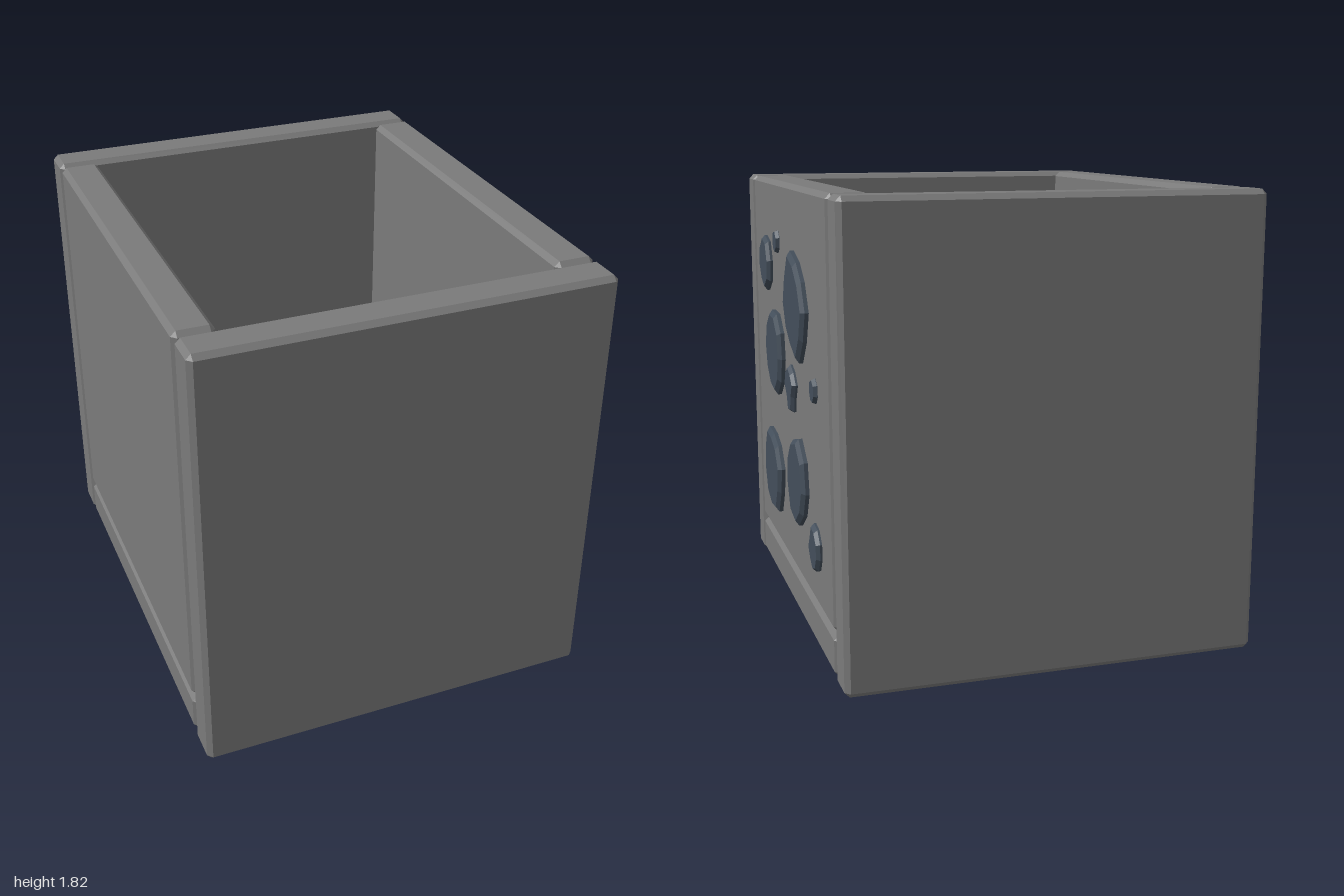
import * as THREE from 'three';
import { ConvexGeometry } from 'three/addons/geometries/ConvexGeometry.js';

// Box with chamfered edges, given by its min and max corners
function chamferBox(min, max, c = 0.02) {
  const centre = min.map((v, i) => (v + max[i]) / 2);
  const half = min.map((v, i) => (max[i] - v) / 2);
  const points = [];
  for (const sx of [-1, 1]) for (const sy of [-1, 1]) for (const sz of [-1, 1]) {
    const s = [sx, sy, sz];
    for (let axis = 0; axis < 3; axis++) {
      const p = s.map((sign, i) => centre[i] + sign * (half[i] - (i === axis ? 0 : c)));
      points.push(new THREE.Vector3(...p));
    }
  }
  return new ConvexGeometry(points);
}

// Faceted stone on the +x wall: corners at equal angles with the given radii;
// bigger stones stand out further and have a wider bevel
function stoneGeometry(z, y, turn, radii) {
  const corners = radii.map((r, i) => {
    const a = THREE.MathUtils.degToRad(turn) + (i / radii.length) * Math.PI * 2;
    return new THREE.Vector2(r * Math.cos(a), r * Math.sin(a));
  });
  const size = Math.max(...radii);
  const bevel = Math.min(0.02, size * 0.12);
  const base = 0.79, chamfer = 0.015;
  const top = Math.min(0.836, 0.815 + size * 0.13);
  const geometry = new THREE.ExtrudeGeometry(new THREE.Shape(corners), {
    depth: top - base - chamfer, bevelEnabled: true, bevelSegments: 1,
    bevelSize: bevel, bevelOffset: -bevel, bevelThickness: chamfer,
  });
  geometry.rotateY(Math.PI / 2);
  geometry.translate(base, y, z);
  return geometry;
}

export function createModel() {
  const model = new THREE.Group();
  model.name = 'stoneBox';
  const panelGrey = new THREE.MeshStandardMaterial({ color: 0x7a7a7a });
  panelGrey.name = 'panelGrey';
  const slateBlue = new THREE.MeshStandardMaterial({ color: 0x434e5a });
  slateBlue.name = 'slateBlue';

  const add = (name, geometry, material, parent = model) => {
    const mesh = new THREE.Mesh(geometry, material);
    mesh.name = name;
    parent.add(mesh);
  };

  // Five separate slabs with narrow gaps, open at the top
  const x0 = -0.84, x1 = 0.805, top = 1.815;
  add('frontPanel', chamferBox([x0, 0, 0.84], [x1, top, 1]), panelGrey);
  add('backPanel', chamferBox([x0, 0, -1], [x1, top, -0.84]), panelGrey);
  add('leftPanel', chamferBox([0.64, 0.19, -0.827], [x1, top, 0.827]), panelGrey);
  add('rightPanel', chamferBox([x0, 0.19, -0.827], [-0.68, top, 0.827]), panelGrey);
  add('floorPanel', chamferBox([x0, 0.013, -0.831], [x1, 0.177, 0.831]), panelGrey);

  // Stones set into the left wall
  const stones = new THREE.Group();
  stones.name = 'stones';
  model.add(stones);
  const addStone = (name, z, y, turn, radii) =>
    add(name, stoneGeometry(z, y, turn, radii), slateBlue, stones);

  addStone('upperFrontStone', 0.468, 1.448, 98,
    [0.121, 0.116, 0.118, 0.106, 0.122, 0.122, 0.115, 0.122]);
  addStone('upperBackStone', -0.24, 1.34, 109,
    [0.23, 0.19, 0.205, 0.18, 0.175, 0.227, 0.203, 0.22, 0.19, 0.19]);
  addStone('middleFrontStone', 0.265, 1.08, 177,
    [0.176, 0.17, 0.172, 0.187, 0.178, 0.174, 0.186, 0.185, 0.183, 0.178]);
  addStone('middleStone', -0.085, 0.98, 97,
    [0.101, 0.099, 0.098, 0.062, 0.1, 0.1, 0.07, 0.104, 0.091]);
  addStone('lowerFrontStone', 0.37, 0.53, 12,
    [0.201, 0.175, 0.165, 0.2, 0.185, 0.182, 0.19, 0.184, 0.2, 0.18]);
  addStone('lowerMiddleStone', -0.205, 0.622, 75,
    [0.192, 0.172, 0.171, 0.175, 0.197, 0.188, 0.17, 0.18, 0.19]);
  addStone('lowerBackStone', -0.535, 0.43, 106,
    [0.102, 0.072, 0.095, 0.08, 0.092, 0.09, 0.088, 0.096, 0.095]);

  // Two small, regular pebbles
  const pebble = Array(7).fill(0.05);
  addStone('frontPebble', 0.208, 1.562, 72, pebble);
  addStone('backPebble', -0.555, 1.06, 85, pebble);

  return model;
}
